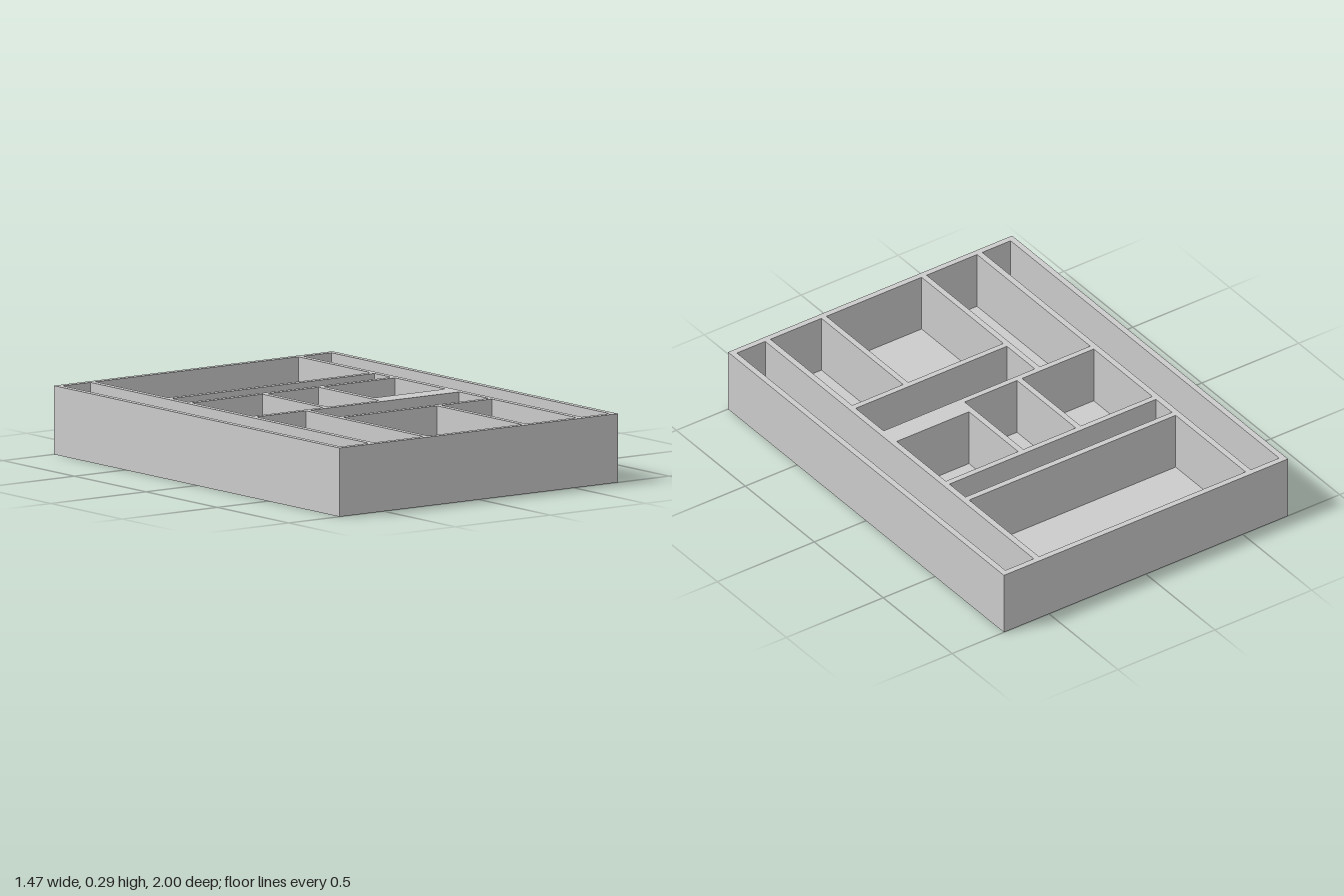
import * as THREE from 'three';

const HALF_W = 0.733, HALF_D = 1, HEIGHT = 0.293, WALL = 0.0267;

// Compartments: [xMin, xMax, zMin, zMax]
const IN = 0.533, END = HALF_D - WALL, SIDE = HALF_W - WALL;
const POCKETS = [
  [-SIDE, -0.56, -END, END],        // long side channels
  [0.56, SIDE, -END, END],
  [-IN, IN, -END, -0.467],          // large back bay
  [-IN, IN, -0.44, -0.324],         // narrow slot
  [-IN, -0.163, -0.298, 0.127],     // middle row
  [-0.137, 0.133, -0.298, 0.127],
  [0.16, IN, -0.298, 0.058],
  [-IN, -0.273, 0.153, END],        // front bays
  [-0.247, IN, 0.153, 0.355],
  [-0.247, 0.244, 0.381, END],
  [0.27, IN, 0.381, END],
];

// Rectangle outline; shape y is -z so it lies flat after rotation
function rectangle(Type, x0, x1, z0, z1) {
  return new Type([[x0, -z1], [x1, -z1], [x1, -z0], [x0, -z0]]
    .map(([x, y]) => new THREE.Vector2(x, y)));
}

export function createModel() {
  const group = new THREE.Group();
  group.name = 'compartmentTray';
  const material = new THREE.MeshStandardMaterial({ color: 0xcccccc });

  // Outer walls and dividers in one piece
  const outline = rectangle(THREE.Shape, -HALF_W, HALF_W, -HALF_D, HALF_D);
  outline.holes = POCKETS.map((p) => rectangle(THREE.Path, ...p));
  const walls = new THREE.Mesh(
    new THREE.ExtrudeGeometry(outline, { depth: HEIGHT - WALL, bevelEnabled: false }),
    material,
  );
  walls.geometry.rotateX(-Math.PI / 2);
  walls.position.y = WALL;
  walls.name = 'wallsAndDividers';

  // Floor slab
  const floor = new THREE.Mesh(new THREE.BoxGeometry(HALF_W * 2, WALL, HALF_D * 2), material);
  floor.position.y = WALL / 2;
  floor.name = 'floor';

  group.add(walls, floor);
  return group;
}
